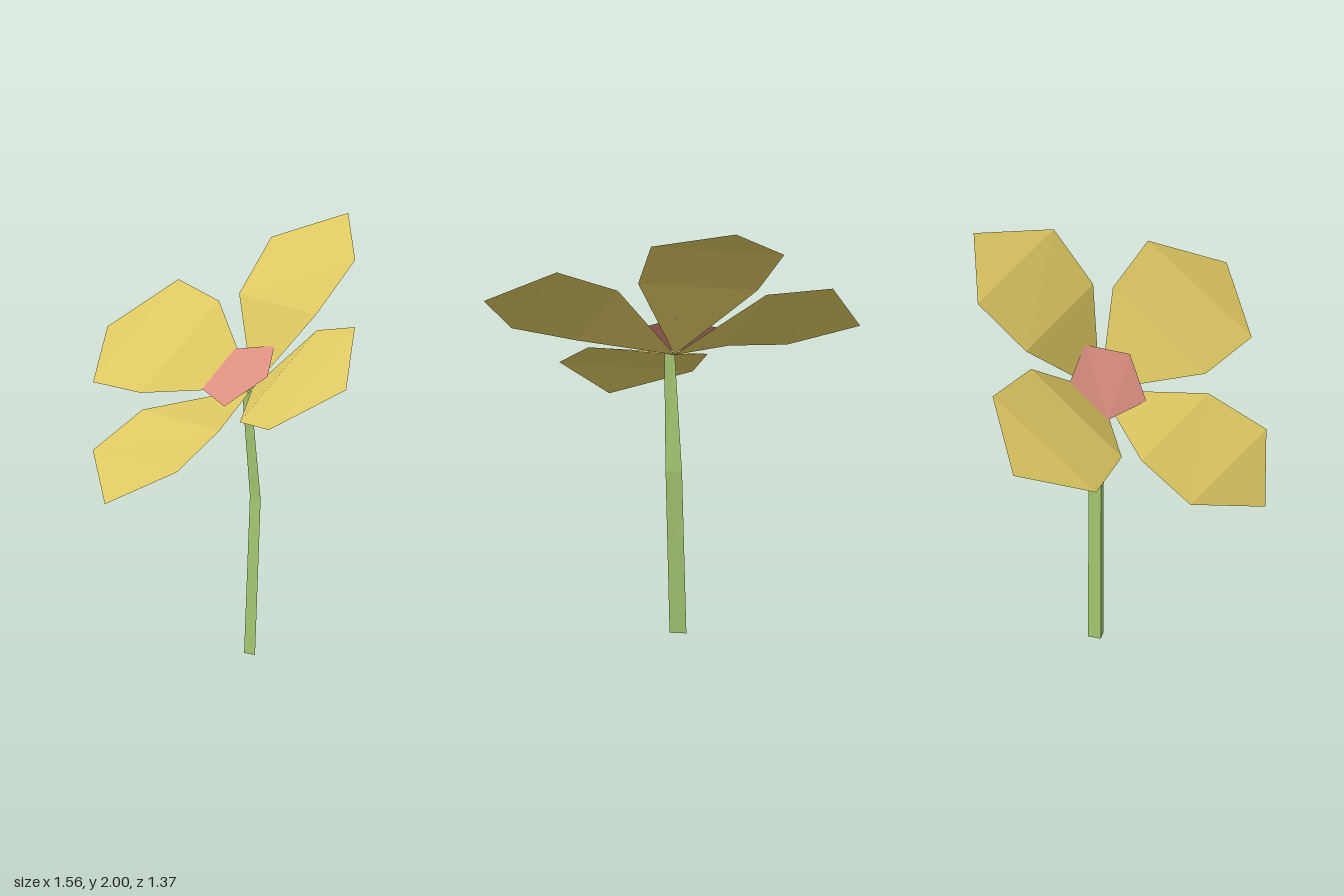
import * as THREE from 'three';

const petalYellow = new THREE.MeshStandardMaterial({ color: 0xdcc661, side: THREE.DoubleSide });
petalYellow.name = 'petalYellow';
const centrePink = new THREE.MeshStandardMaterial({ color: 0xdb8e80, side: THREE.DoubleSide });
centrePink.name = 'centrePink';
const stemGreen = new THREE.MeshStandardMaterial({ color: 0xa9ca72 });
stemGreen.name = 'stemGreen';
for (const m of [petalYellow, centrePink, stemGreen]) m.flatShading = true;

// Faceted mesh from corner points and polygons, each polygon cut as a fan
function facetMesh(name, points, polygons, material) {
  const pos = [];
  for (const p of polygons)
    for (let i = 1; i < p.length - 1; i++)
      pos.push(...points[p[0]], ...points[p[i]], ...points[p[i + 1]]);
  const geo = new THREE.BufferGeometry();
  geo.setAttribute('position', new THREE.Float32BufferAttribute(pos, 3));
  geo.computeVertexNormals();
  const mesh = new THREE.Mesh(geo, material);
  mesh.name = name;
  return mesh;
}

// Every petal springs from the same point at the stem top
const BASE = [0.09, 1.31, -0.095];

// Outline after the base: inner, outer, tip, outer, inner corner
const PETALS = {
  backPetal: [[-0.11, 1.63, -0.43], [-0.04, 1.84, -0.655], [0.33, 2.0, -0.685], [0.51, 1.92, -0.32], [0.39, 1.7, -0.135]],
  rightPetal: [[-0.42, 1.255, 0.02], [-0.7, 1.23, -0.09], [-0.78, 1.36, -0.47], [-0.47, 1.6, -0.575], [-0.2, 1.59, -0.405]],
  frontPetal: [[0.125, 1.28, 0.405], [0.02, 1.155, 0.675], [-0.335, 0.95, 0.68], [-0.53, 1.07, 0.34], [-0.375, 1.21, 0.11]],
  leftPetal: [[0.43, 1.66, -0.045], [0.68, 1.765, 0.11], [0.78, 1.595, 0.47], [0.445, 1.395, 0.595], [0.22, 1.33, 0.39]],
};

export function createModel() {
  const flower = new THREE.Group();
  flower.name = 'flower';

  // Petals, folded across at two creases
  for (const [name, outline] of Object.entries(PETALS))
    flower.add(facetMesh(name, [BASE, ...outline], [[0, 5, 1], [1, 5, 4, 2], [2, 4, 3]], petalYellow));

  // Tilted five-sided centre
  const centre = [[-0.143, 1.29, -0.05], [0.035, 1.287, 0.12], [0.218, 1.43, 0.04], [0.17, 1.505, -0.168], [-0.053, 1.435, -0.23]];
  flower.add(facetMesh('flowerCentre', centre, [[0, 1, 2, 3, 4]], centrePink));

  // Three-sided stem with a bend
  const rings = [
    [[0.05, 0, -0.09], [0.108, 0, -0.08], [0.07, 0, -0.15]],
    [[0.079, 0.78, -0.09], [0.136, 0.77, -0.08], [0.098, 0.76, -0.148]],
    [[0.056, 1.31, -0.05], [0.102, 1.32, -0.042], [0.075, 1.31, -0.083]],
  ];
  const faces = [[2, 1, 0], [6, 7, 8]];
  for (let r = 0; r < 6; r += 3)
    for (let i = 0; i < 3; i++) {
      const j = (i + 1) % 3;
      faces.push([r + i, r + j, r + 3 + j, r + 3 + i]);
    }
  flower.add(facetMesh('stem', rings.flat(), faces, stemGreen));

  return flower;
}
